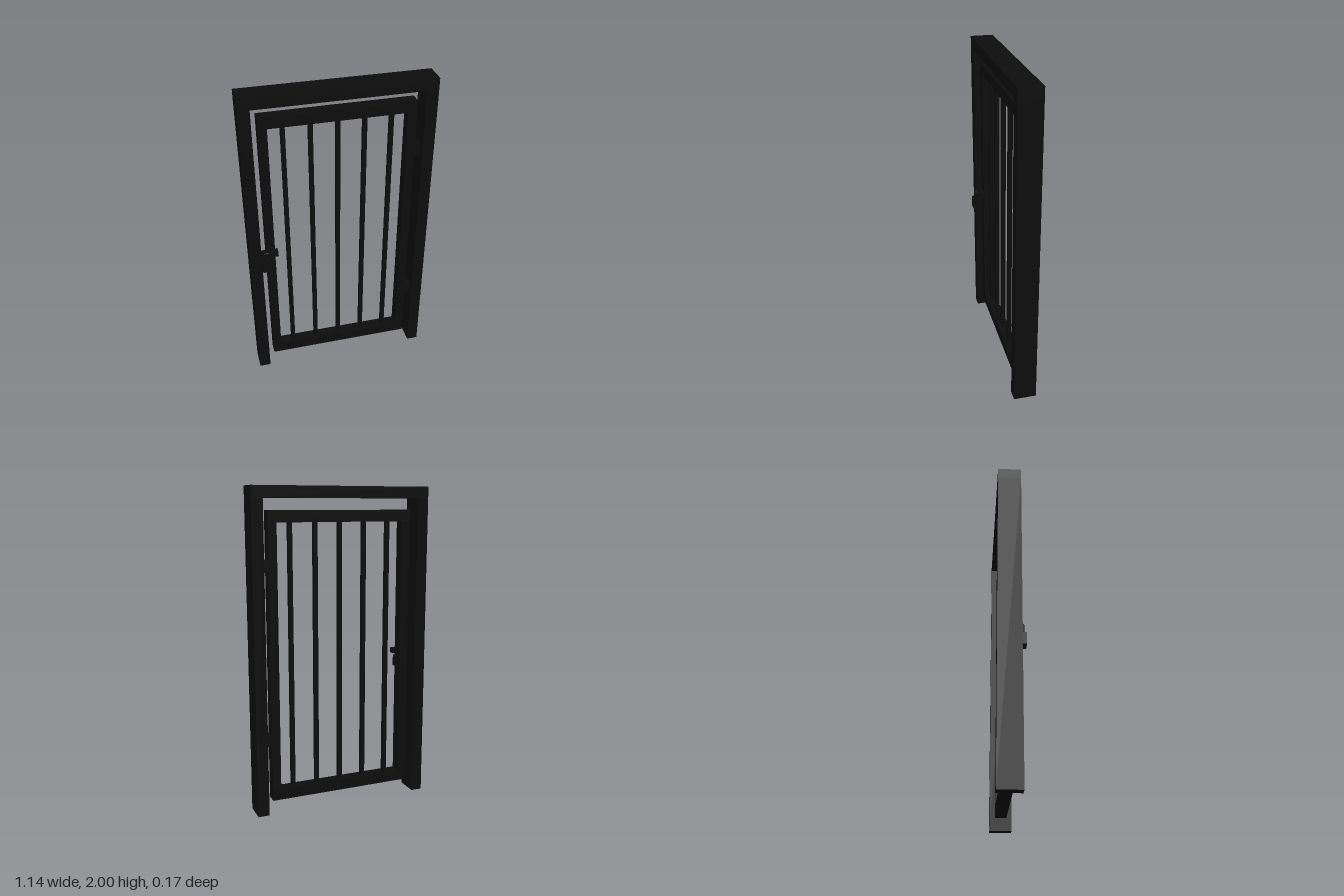
import * as THREE from 'three';

export function createModel() {
  const gate = new THREE.Group();
  gate.name = 'barredGate';
  const iron = new THREE.MeshStandardMaterial({ color: 0x0d0d0d });
  iron.name = 'blackIron';

  const add = (name, geometry, parent = gate) => {
    const mesh = new THREE.Mesh(geometry, iron);
    mesh.name = name;
    parent.add(mesh);
    return mesh;
  };
  // Box given by its lower and upper limits on each axis
  const box = (name, [x0, x1], [y0, y1], [z0, z1], parent) =>
    add(name, new THREE.BoxGeometry(x1 - x0, y1 - y0, z1 - z0), parent)
      .position.set((x0 + x1) / 2, (y0 + y1) / 2, (z0 + z1) / 2);

  // Fixed outer frame
  const frameZ = [-0.086, 0.056];
  box('leftPost', [0.5, 0.571], [0, 1.93], frameZ);
  box('rightPost', [-0.571, -0.5], [0, 1.93], frameZ);
  box('lintel', [-0.571, 0.571], [1.93, 2], frameZ);

  // Swinging leaf
  const leaf = new THREE.Group();
  leaf.name = 'leaf';
  gate.add(leaf);
  const leafZ = [-0.051, 0.021];
  box('leftStile', [0.41, 0.463], [0.145, 1.79], leafZ, leaf);
  box('rightStile', [-0.463, -0.41], [0.145, 1.79], leafZ, leaf);
  box('bottomRail', [-0.463, 0.463], [0.075, 0.145], leafZ, leaf);
  box('topRail', [-0.463, 0.463], [1.79, 1.86], leafZ, leaf);
  for (let i = -2; i <= 2; i++) {
    const x = i * 0.16;
    box('bar', [x - 0.013, x + 0.013], [0.145, 1.79], [-0.028, -0.002], leaf);
  }

  // Hinges
  for (const y of [0.467, 1.538]) {
    box('hinge', [0.455, 0.505], [y - 0.036, y + 0.036], [-0.05, 0.02]);
  }

  // Sliding bolt and padlock
  box('bolt', [-0.52, -0.395], [0.935, 0.967], [0.02, 0.062]);
  box('padlockBody', [-0.5, -0.43], [0.84, 0.911], [0.03, 0.085]);
  const shackle = new THREE.CurvePath();
  const v = (x, y) => new THREE.Vector3(x, y, 0.066);
  shackle.add(new THREE.LineCurve3(v(-0.486, 0.905), v(-0.486, 0.95)));
  shackle.add(new THREE.QuadraticBezierCurve3(v(-0.486, 0.95), v(-0.486, 0.971), v(-0.465, 0.971)));
  shackle.add(new THREE.QuadraticBezierCurve3(v(-0.465, 0.971), v(-0.444, 0.971), v(-0.444, 0.95)));
  shackle.add(new THREE.LineCurve3(v(-0.444, 0.95), v(-0.444, 0.905)));
  add('padlockShackle', new THREE.TubeGeometry(shackle, 24, 0.006, 8));

  return gate;
}
